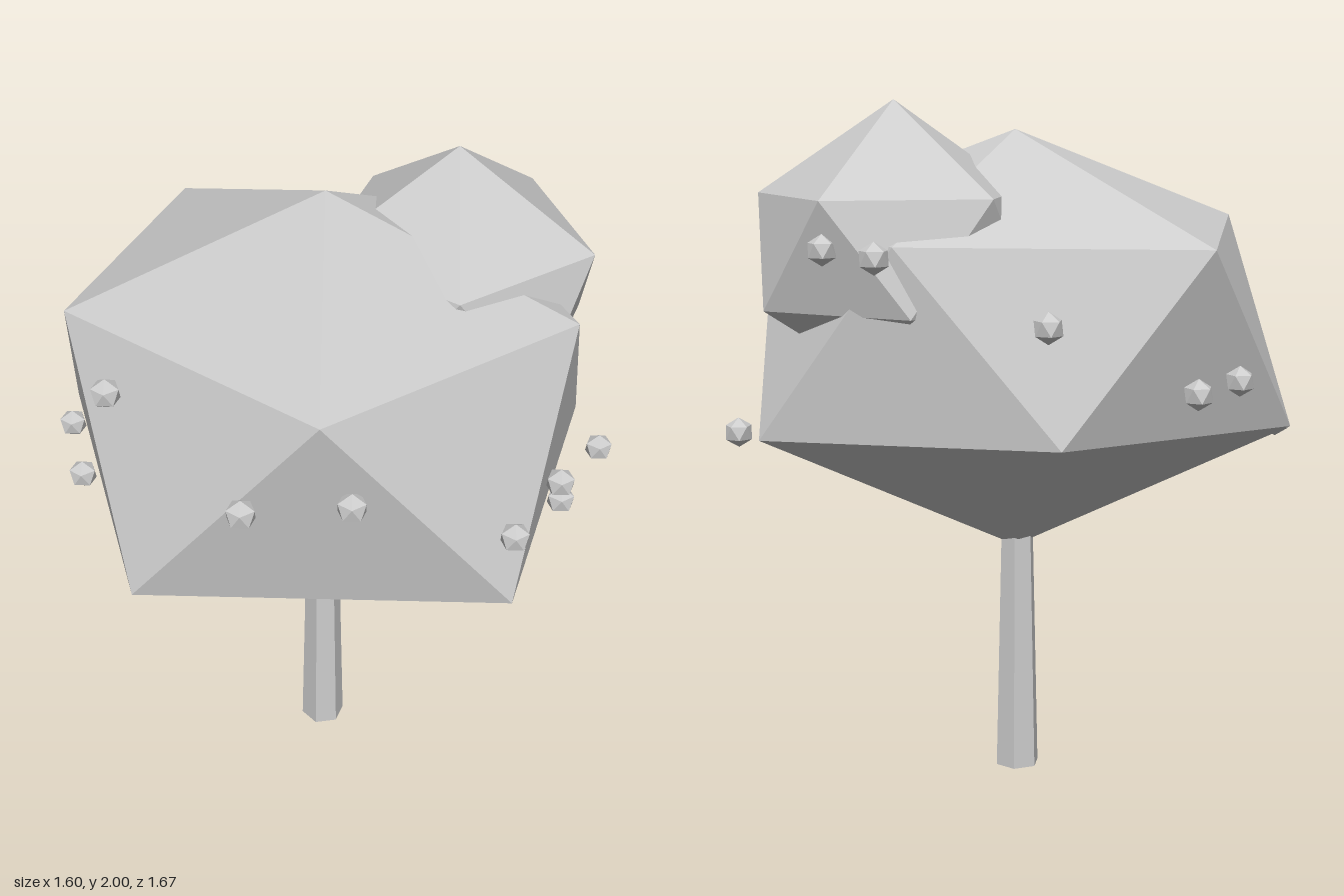
import * as THREE from 'three';

const grey = new THREE.MeshStandardMaterial({ color: 0xcccccc, flatShading: true });
grey.name = 'plain grey';

// Twenty-sided blob: top point, upper ring of five, lower ring of five, bottom point
function blob(name, top, upper, lower, bottom) {
  const pos = [];
  const tri = (...pts) => pts.forEach((p) => pos.push(...p));
  for (let i = 0; i < 5; i++) {
    const j = (i + 1) % 5;
    tri(top, upper[i], upper[j]);
    tri(upper[i], lower[i], upper[j]);
    tri(lower[i], lower[j], upper[j]);
    tri(bottom, lower[j], lower[i]);
  }
  const geo = new THREE.BufferGeometry();
  geo.setAttribute('position', new THREE.Float32BufferAttribute(pos, 3));
  geo.computeVertexNormals();
  const mesh = new THREE.Mesh(geo, grey);
  mesh.name = name;
  return mesh;
}

// Five evenly spaced points at height y
function ring(cx, y, cz, r, startDeg) {
  return Array.from({ length: 5 }, (_, i) => {
    const t = THREE.MathUtils.degToRad(startDeg + i * 72);
    return [cx + r * Math.sin(t), y, cz + r * Math.cos(t)];
  });
}

export function createModel() {
  const group = new THREE.Group();
  group.name = 'tree';

  // Six-sided tapering trunk
  const trunk = new THREE.Mesh(new THREE.CylinderGeometry(0.044, 0.067, 1, 6), grey);
  trunk.name = 'trunk';
  trunk.position.set(-0.005, 0.5, -0.013);
  group.add(trunk);

  // Large uneven crown
  group.add(blob('mainCrown', [0, 1.915, -0.02],
    [[-0.6, 1.65, 0.39], [0.25, 1.683, 0.72], [0.72, 1.645, -0.02], [0.24, 1.62, -0.59], [-0.6, 1.61, -0.43]],
    [[-0.27, 1.045, 0.765], [0.7, 1.05, 0.46], [0.65, 1.07, -0.47], [-0.22, 1.1, -0.66], [-0.805, 1.07, -0.02]],
    [0, 0.685, -0.015]));

  // Smaller crown pushed into the upper back
  group.add(blob('smallCrown', [0.31, 2, -0.23],
    ring(0.31, 1.74, -0.23, 0.395, 90), ring(0.31, 1.43, -0.23, 0.395, 126), [0.31, 1.17, -0.23]));

  // Fruit scattered around the crown
  const spots = [
    [0.74, 1.24, 0.145], [-0.62, 1.06, 0.335], [0.24, 1.61, -0.8], [0.32, 1.43, 0.675],
    [-0.665, 1.24, -0.29], [0.76, 1.06, -0.3], [-0.355, 1.61, 0.657], [-0.19, 1.43, -0.705],
    [0.685, 1.24, 0.418], [-0.76, 1.06, 0.112], [0.43, 1.61, -0.585], [0.067, 1.43, 0.795],
    [-0.565, 1.24, -0.537], [0.715, 1.06, -0.015],
  ];
  const r = 0.043;
  const fruits = new THREE.Group();
  fruits.name = 'fruits';
  for (const [x, y, z] of spots) {
    const fruit = blob('fruit', [0, r, 0], ring(0, r * 0.447, 0, r * 0.894, 90),
      ring(0, -r * 0.447, 0, r * 0.894, 126), [0, -r, 0]);
    fruit.position.set(x, y, z);
    fruits.add(fruit);
  }
  group.add(fruits);
  return group;
}
